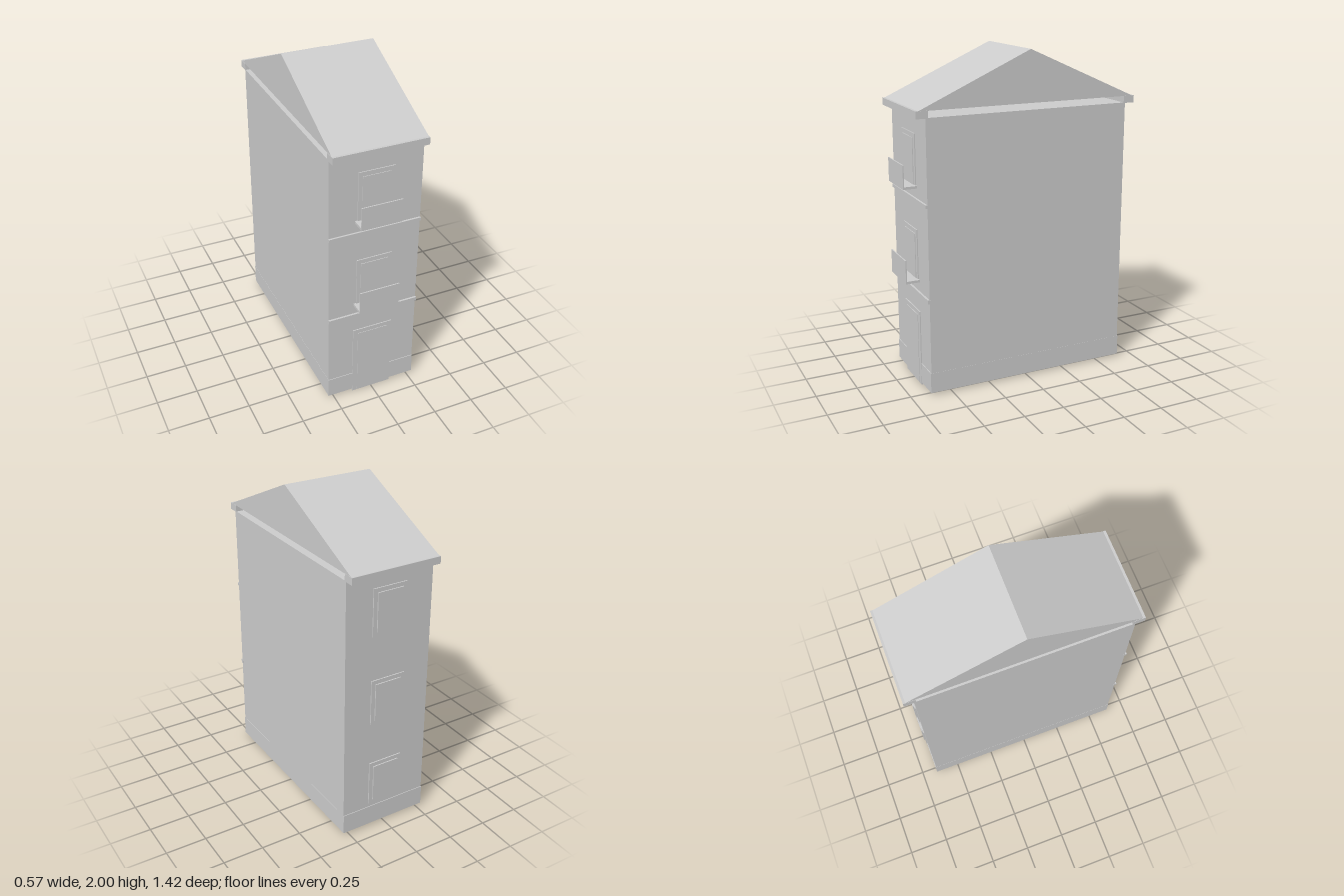
import * as THREE from 'three';

const HALF_W = 0.283;

export function createModel() {
  const house = new THREE.Group();
  house.name = 'narrowTownhouse';
  const plaster = new THREE.MeshStandardMaterial({ color: 0xcccccc });
  plaster.name = 'pale grey';

  // Box given by half width and its y and z ranges, centred on x = 0
  function block(name, halfW, y0, y1, z0, z1) {
    const mesh = new THREE.Mesh(new THREE.BoxGeometry(halfW * 2, y1 - y0, Math.abs(z1 - z0)), plaster);
    mesh.position.set(0, (y0 + y1) / 2, (z0 + z1) / 2);
    mesh.name = name;
    house.add(mesh);
  }

  // Walls and the slightly thicker plinth
  block('walls', HALF_W, 0.015, 1.655, -0.65, 0.629);
  block('plinth', HALF_W + 0.001, 0.015, 0.14, -0.654, 0.633);

  // Ledges between the storeys
  block('lowerLedge', HALF_W + 0.001, 0.575, 0.6, 0.62, 0.641);
  block('upperLedge', HALF_W + 0.001, 1.145, 1.165, 0.62, 0.641);

  // Front door: surround and raised leaf
  block('doorSurround', 0.125, 0, 0.472, 0.62, 0.635);
  block('doorLeaf', 0.095, 0.005, 0.445, 0.62, 0.638);

  // Balconies with their glazed doors
  for (const y of [0.657, 1.225]) {
    block('balconyDoorSurround', 0.11, y + 0.012, y + 0.317, 0.62, 0.635);
    block('balconyDoor', 0.085, y + 0.012, y + 0.29, 0.62, 0.639);
    block('balconyFloor', 0.125, y, y + 0.015, 0.62, 0.714);
    block('balconyFront', 0.125, y, y + 0.143, 0.707, 0.714);
  }

  // Back windows: frame and raised pane
  for (const y of [0.165, 0.72, 1.285]) {
    block('windowFrame', 0.11, y, y + 0.288, -0.64, -0.657);
    block('windowPane', 0.085, y + 0.025, y + 0.263, -0.64, -0.664);
  }

  // Eaves carry the roof and leave an open slot on both sides
  block('frontEave', HALF_W + 0.002, 1.652, 1.695, 0.613, 0.685);
  block('backEave', HALF_W + 0.002, 1.652, 1.695, -0.64, -0.71);

  // Gabled roof, extruded along x
  const gable = new THREE.Shape();
  gable.moveTo(-0.672, 1.694);
  gable.lineTo(0.699, 1.694);
  gable.lineTo(0.013, 2);
  gable.closePath();
  const roofGeometry = new THREE.ExtrudeGeometry(gable, { depth: HALF_W * 2, bevelEnabled: false });
  roofGeometry.translate(0, 0, -HALF_W).rotateY(Math.PI / 2);
  const roof = new THREE.Mesh(roofGeometry, plaster);
  roof.name = 'roof';
  house.add(roof);

  return house;
}
